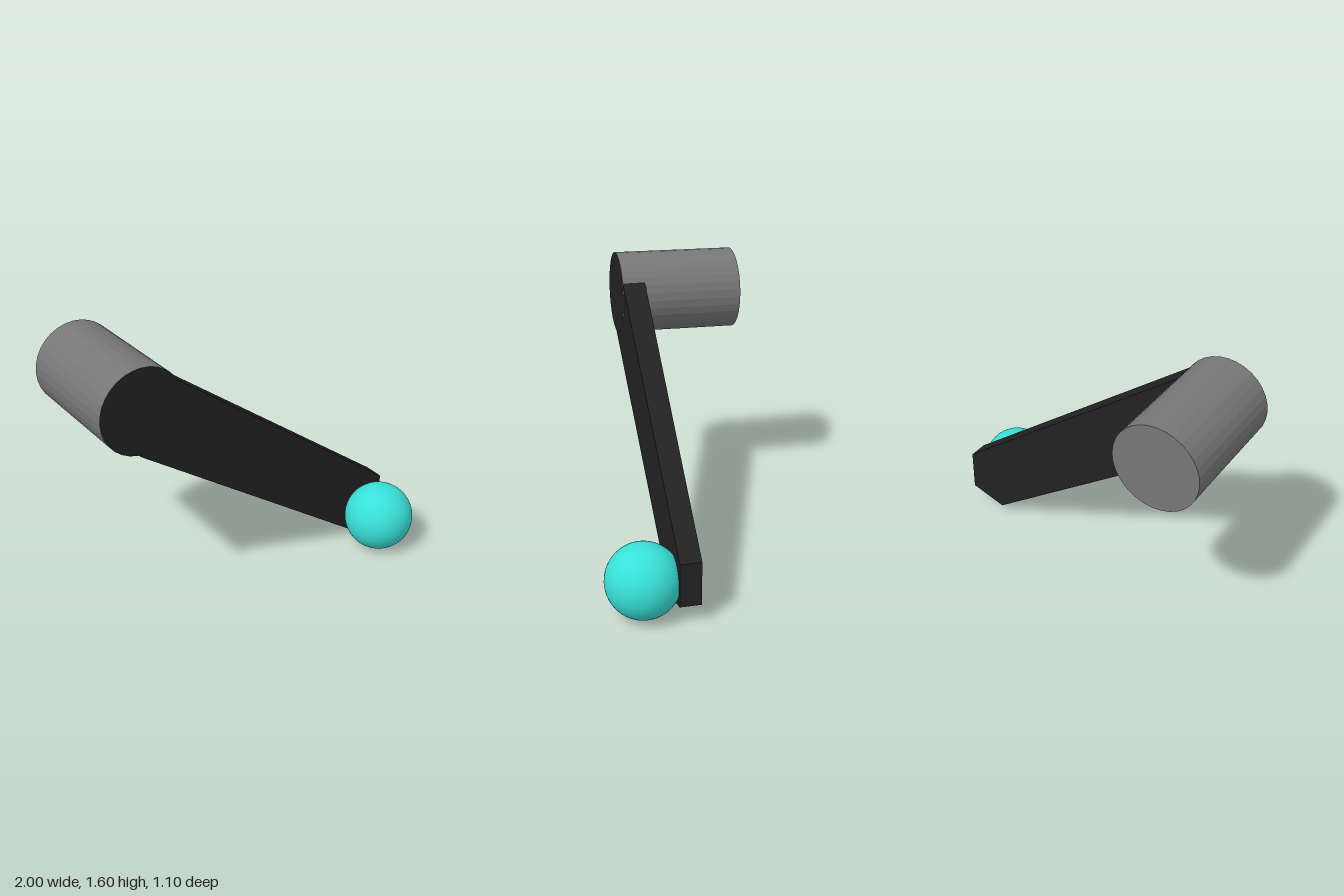
import * as THREE from 'three';

export function createModel() {
  const model = new THREE.Group();
  const grey = new THREE.MeshStandardMaterial({ color: 0x777777, flatShading: true });
  const dark = new THREE.MeshStandardMaterial({ color: 0x222222, flatShading: true });
  const teal = new THREE.MeshStandardMaterial({ color: 0x38e0d8 });

  const add = (name, geometry, material, parent = model) => {
    const mesh = new THREE.Mesh(geometry, material);
    mesh.name = name;
    parent.add(mesh);
    return mesh;
  };

  // Pivot: a barrel along z, tipped very slightly, with a dark front face
  const radius = 0.247, length = 0.73;
  const pivot = new THREE.Group();
  pivot.name = 'pivot';
  pivot.position.set(-0.753, 1.353, -0.182);
  pivot.rotation.x = -0.011;
  model.add(pivot);
  add('barrel', new THREE.CylinderGeometry(radius, radius, length, 32).rotateX(Math.PI / 2), grey, pivot);
  add('barrelFace', new THREE.CircleGeometry(radius, 32), dark, pivot).position.z = length / 2 + 0.001;

  // Arm: a flat bar with a pointed lower end
  const outline = [[-0.53, 1.47], [-0.78, 1.1], [0.71, 0.04], [0.935, 0.11], [0.935, 0.365]];
  const shape = new THREE.Shape(outline.map(([x, y]) => new THREE.Vector2(x, y)));
  const arm = new THREE.ExtrudeGeometry(shape, { depth: 1, bevelEnabled: false });
  // Thin the bar gently towards its lower end
  const p = arm.attributes.position;
  for (let i = 0; i < p.count; i++) {
    const t = (p.getX(i) + 0.78) / 1.715;
    const back = 0.045 + 0.009 * t, front = 0.183 - 0.01 * t;
    p.setZ(i, THREE.MathUtils.lerp(back, front, p.getZ(i)));
  }
  arm.computeVertexNormals();
  add('arm', arm, dark);

  // Round knob on the front of the lower end
  add('knob', new THREE.SphereGeometry(0.209, 48, 32), teal).position.set(0.79, 0.211, 0.338);

  return model;
}
